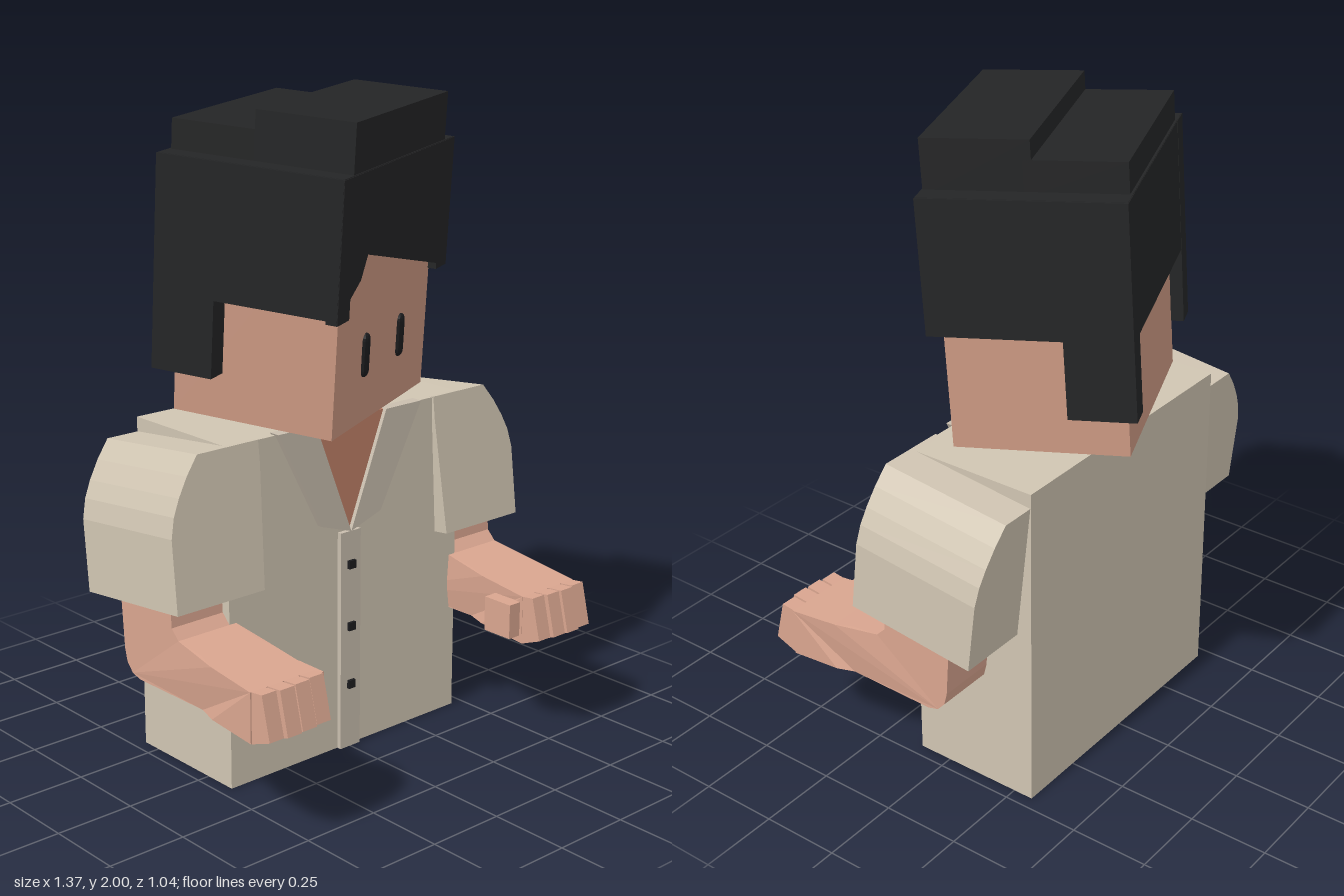
import * as THREE from 'three';

const mat = (color) => new THREE.MeshStandardMaterial({ color, flatShading: true });
const M = {
  shirt: mat(0xd0c5b2), collar: mat(0xc9beae), head: mat(0xcb9882),
  arm: mat(0xd9a58f), chest: mat(0xc08068), hair: mat(0x242526), dark: mat(0x1c1c1e),
};

function add(parent, name, geometry, material) {
  const mesh = new THREE.Mesh(geometry, material);
  mesh.name = name;
  parent.add(mesh);
  return mesh;
}

// Box given by its limits on each axis
function box(x0, x1, y0, y1, z0, z1) {
  return new THREE.BoxGeometry(x1 - x0, y1 - y0, z1 - z0)
    .translate((x0 + x1) / 2, (y0 + y1) / 2, (z0 + z1) / 2);
}

// Outline in (x, y), extruded from z0 to z1
function frontSlab(points, z0, z1) {
  const shape = new THREE.Shape(points.map(([a, b]) => new THREE.Vector2(a, b)));
  return new THREE.ExtrudeGeometry(shape, { depth: z1 - z0, bevelEnabled: false }).translate(0, 0, z0);
}

// Outline in (z, y), extruded from x0 to x1
function sideSlab(points, x0, x1) {
  return frontSlab(points, 0, x1 - x0).rotateY(-Math.PI / 2).translate(x1, 0, 0);
}

function buildTorso() {
  const torso = new THREE.Group();
  torso.name = 'torso';
  add(torso, 'shirtBody', box(-0.46, 0.46, 0, 1.055, -0.315, 0.11), M.shirt);
  add(torso, 'placket', box(-0.04, 0.04, 0, 0.705, 0.1, 0.125), M.collar);
  for (const y of [0.21, 0.4, 0.6]) {
    add(torso, 'button', box(-0.013, 0.013, y - 0.013, y + 0.013, 0.12, 0.135), M.dark);
  }
  // Open neck with a lapel on each side
  add(torso, 'chest', frontSlab([[-0.14, 1.058], [0, 0.705], [0.14, 1.058]], 0.09, 0.114), M.chest);
  for (const s of [1, -1]) {
    const lapel = [[0, 0.705], [0.12, 0.745], [0.285, 1.06], [0.14, 1.06]];
    add(torso, 'lapel', frontSlab(lapel.map(([x, y]) => [x * s, y]), 0.09, 0.127), M.collar);
  }
  add(torso, 'neck', box(-0.13, 0.13, 0.95, 1.14, -0.22, 0.03), M.head);
  return torso;
}

function buildArm() {
  const arm = new THREE.Group();

  // Short sleeve with a rounded shoulder, tipped slightly back
  const sleeve = add(arm, 'sleeve', frontSlab([
    [0.37, -0.22], [0.685, -0.22], [0.682, 0], [0.668, 0.06], [0.645, 0.11], [0.612, 0.165],
    [0.57, 0.22], [0.35, 0.22], [0.35, 0.15],
  ], -0.215, 0.215), M.shirt);
  sleeve.position.set(0, 0.815, -0.075);
  sleeve.rotation.x = -0.11;

  // Bent arm running into the palm, pinched at the wrist
  const limb = sideSlab([
    [-0.16, 0.7], [-0.16, 0.56], [-0.15, 0.42], [-0.14, 0.38], [-0.115, 0.352], [-0.08, 0.342],
    [0.21, 0.342], [0.27, 0.337], [0.44, 0.322], [0.44, 0.475], [0.27, 0.495], [0.21, 0.505],
    [0.11, 0.52], [0.08, 0.55], [0.07, 0.7],
  ], -0.5, 0.5);
  const p = limb.attributes.position;
  for (let i = 0; i < p.count; i++) {
    const z = p.getZ(i);
    p.setX(i, 0.54 + p.getX(i) * (z > 0.25 ? 0.23 : z > 0.2 ? 0.2 : 0.21));
  }
  limb.computeVertexNormals();
  add(arm, 'forearmAndPalm', limb, M.arm);

  // Four short fingers and a thumb
  [-0.008, 0, 0.004, -0.004].forEach((d, i) => {
    const x = 0.426 + i * 0.058;
    add(arm, 'finger', sideSlab([
      [0.42, 0.33], [0.44, 0.321], [0.52 + d, 0.35], [0.488 + d, 0.48], [0.44, 0.475], [0.42, 0.474],
    ], x, x + 0.051), M.arm);
  });
  add(arm, 'thumb', box(0.38, 0.44, 0.345, 0.455, 0.325, 0.43), M.arm);
  return arm;
}

function buildHead() {
  const head = new THREE.Group();
  head.name = 'head';
  add(head, 'face', box(-0.326, 0.326, 0, 0.7, -0.257, 0.257), M.head);

  for (const s of [1, -1]) {
    const eye = add(head, 'eye', new THREE.CapsuleGeometry(0.022, 0.09, 4, 10), M.dark);
    eye.position.set(s * 0.125, 0.205, 0.257);
    eye.scale.z = 0.6;

    // Side hair with a lock hanging at the back
    const x0 = s > 0 ? 0.32 : -0.395;
    add(head, 'sideHair', sideSlab([
      [-0.296, 0.138], [-0.1, 0.138], [-0.1, 0.37], [0.284, 0.37], [0.284, 0.768], [-0.296, 0.768],
    ], x0, x0 + 0.075), M.hair);
  }
  add(head, 'fringe', frontSlab([
    [-0.394, 0.36], [-0.316, 0.36], [-0.316, 0.42], [-0.25, 0.46], [-0.21, 0.526],
    [0.394, 0.37], [0.394, 0.767], [-0.394, 0.767],
  ], 0.25, 0.286), M.hair);
  add(head, 'backHair', box(-0.33, 0.33, 0.37, 0.767, -0.295, -0.24), M.hair);
  add(head, 'crown', box(-0.39, 0.39, 0.64, 0.769, -0.294, 0.284), M.hair);

  // Stepped top, higher at the front
  add(head, 'topHairFront', box(-0.326, 0.326, 0.75, 0.913, -0.025, 0.281), M.hair);
  add(head, 'topHairBack', box(-0.326, 0.326, 0.75, 0.857, -0.287, 0), M.hair);

  // Turned to its left and nodding slightly
  head.position.set(0, 1.082, -0.103);
  head.rotation.set(0.075, 0.402, 0);
  return head;
}

export function createModel() {
  const model = new THREE.Group();
  model.name = 'figureBust';
  model.add(buildTorso(), buildHead());
  for (const s of [1, -1]) {
    const arm = buildArm();
    arm.name = s > 0 ? 'leftArm' : 'rightArm';
    arm.scale.x = s;
    model.add(arm);
  }
  return model;
}
